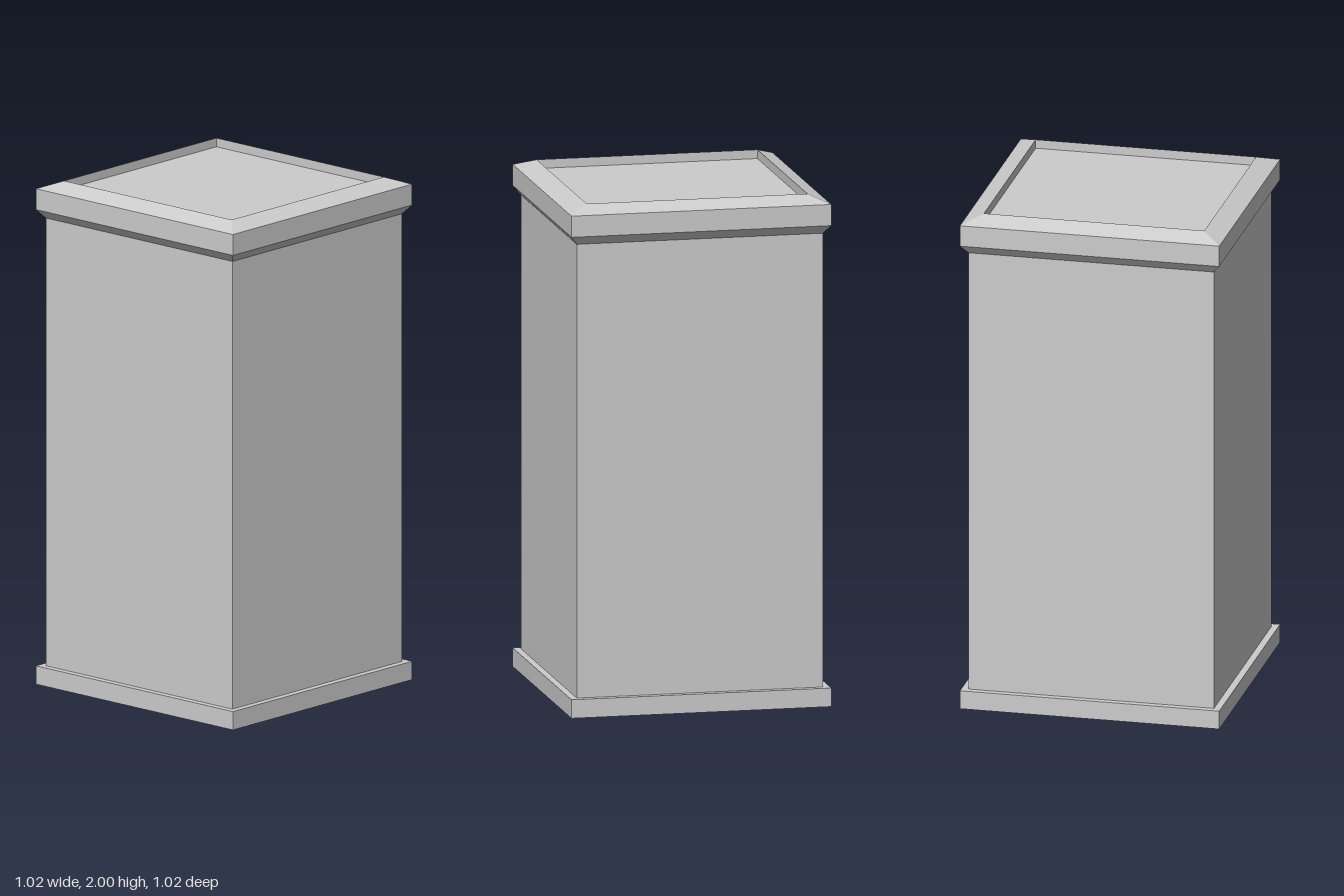
import * as THREE from 'three';

const material = new THREE.MeshStandardMaterial({ color: 0xcccccc, flatShading: true });

// Square solid from a profile of [half width, height] points, listed bottom to top
function squareSolid(name, profile) {
  const points = profile.map(([half, y]) => new THREE.Vector2(half * Math.SQRT2, y));
  const geometry = new THREE.LatheGeometry(points, 4, Math.PI / 4).toNonIndexed();
  geometry.computeVertexNormals();
  const mesh = new THREE.Mesh(geometry, material);
  mesh.name = name;
  return mesh;
}

export function createModel() {
  const model = new THREE.Group();
  model.name = 'pedestal';

  // Flat plinth at the foot
  model.add(squareSolid('base', [[0, 0], [0.512, 0], [0.512, 0.073], [0.485, 0.073]]));

  // Plain square shaft
  model.add(squareSolid('shaft', [[0.485, 0.073], [0.485, 1.853]]));

  // Cap with bevelled underside, sloping rim and shallow sunken top
  model.add(squareSolid('cap', [
    [0.485, 1.853], [0.512, 1.887], [0.512, 1.97],
    [0.435, 2], [0.435, 1.965], [0, 1.965],
  ]));

  return model;
}
